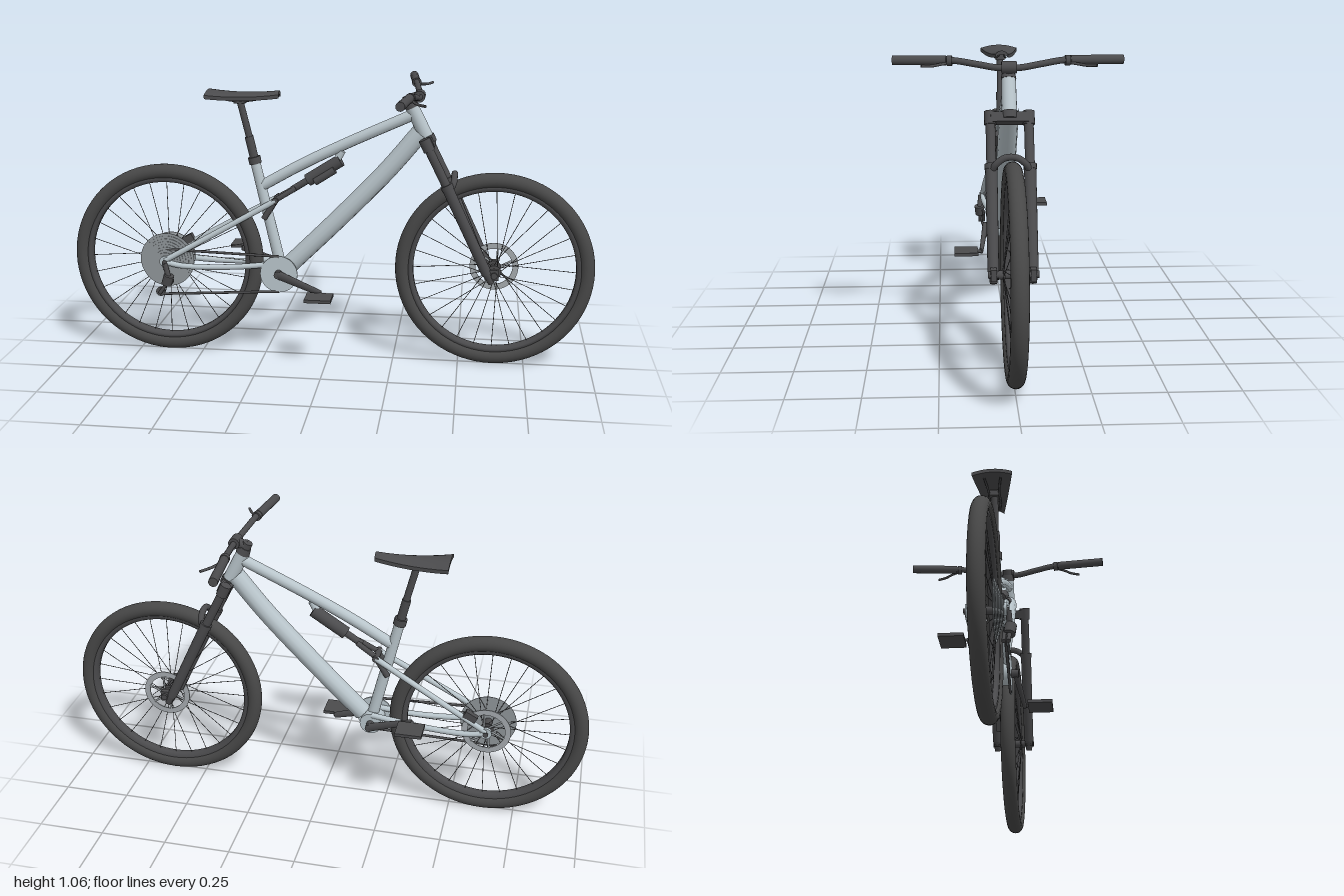
import * as THREE from 'three';

const mat = (name, color) => Object.assign(new THREE.MeshStandardMaterial({ color }), { name });

export function createModel() {
  const tyreMat = mat('tyre rubber', 0x484848);
  const dark = mat('dark components', 0x4b4b4d);
  const paint = mat('frame silver', 0xb9c5cb);
  const steel = mat('steel', 0x8f9599);
  const rotorMat = mat('rotor steel', 0xa4aaae);
  const bike = new THREE.Group();
  bike.name = 'bicycle';

  const V = (a) => new THREE.Vector3(...a);
  const add = (name, geo, material, parent = bike) => {
    const m = new THREE.Mesh(geo, material);
    m.name = name;
    parent.add(m);
    return m;
  };
  // straight round bar between two points
  const bar = (name, a, b, r, material = dark, r2 = r, parent = bike, sides = 16) => {
    const p = V(a), q = V(b), d = q.clone().sub(p);
    const m = add(name, new THREE.CylinderGeometry(r2, r, d.length(), sides), material, parent);
    m.position.copy(p).add(q).multiplyScalar(0.5);
    m.quaternion.setFromUnitVectors(new THREE.Vector3(0, 1, 0), d.normalize());
    return m;
  };
  // bent round bar through points
  const bent = (name, pts, r, material = dark, segs = 24) =>
    add(name, new THREE.TubeGeometry(new THREE.CatmullRomCurve3(pts.map(V)), segs, r, 12), material);
  const box = (name, size, pos, material = dark, rz = 0) => {
    const m = add(name, new THREE.BoxGeometry(...size), material);
    m.position.set(...pos);
    m.rotation.z = rz;
    return m;
  };
  // disc facing z
  const disc = (name, x, y, z, r, t, material, parent = bike) =>
    bar(name, [x, y, z - t / 2], [x, y, z + t / 2], r, material, r, parent, 40);

  // brake rotor: slotted ring with spider arms
  const rotor = (parent, z) => {
    const s = new THREE.Shape().absarc(0, 0, 0.092, 0, Math.PI * 2);
    s.holes.push(new THREE.Path().absarc(0, 0, 0.07, 0, Math.PI * 2, true));
    add('brakeRotor', new THREE.ExtrudeGeometry(s, { depth: 0.004, bevelEnabled: false, curveSegments: 32 }), rotorMat, parent).position.z = z;
    for (let i = 0; i < 6; i++) {
      const a = i * Math.PI / 3;
      bar('rotorArm', [Math.cos(a) * 0.02, Math.sin(a) * 0.02, z + 0.002],
        [Math.cos(a + 0.35) * 0.073, Math.sin(a + 0.35) * 0.073, z + 0.002], 0.004, rotorMat, 0.004, parent, 6);
    }
  };

  const wheel = (name, x) => {
    const g = new THREE.Group();
    g.name = name;
    g.position.set(x, 0.373, 0);
    bike.add(g);
    add('tyre', new THREE.TorusGeometry(0.344, 0.029, 20, 80), tyreMat, g);
    const profile = [[0.326, -0.019], [0.312, -0.019], [0.304, -0.01], [0.304, 0.01], [0.312, 0.019], [0.326, 0.019], [0.326, -0.019]];
    const rim = add('rim', new THREE.LatheGeometry(profile.map(([r, y]) => new THREE.Vector2(r, y)), 80), dark, g);
    rim.rotation.x = Math.PI / 2;
    rim.material.side = THREE.DoubleSide;
    bar('hub', [0, 0, -0.05], [0, 0, 0.05], 0.015, dark, 0.015, g);
    for (const z of [-0.032, 0.032]) disc('hubFlange', 0, 0, z, 0.026, 0.006, dark, g);
    for (let i = 0; i < 28; i++) {
      const a = i * Math.PI / 14, b = a + (i % 4 < 2 ? 0.5 : -0.5), z = i % 2 ? 0.032 : -0.032;
      bar('spoke', [Math.cos(b) * 0.025, Math.sin(b) * 0.025, z], [Math.cos(a) * 0.306, Math.sin(a) * 0.306, 0], 0.0013, dark, 0.0013, g, 5);
    }
    rotor(g, -0.047);
    return g;
  };
  wheel('frontWheel', 0.627);
  const rear = wheel('rearWheel', -0.627);
  // stepped cassette
  for (let i = 0; i < 8; i++) disc('sprocket', 0, 0, 0.029 + i * 0.004, 0.106 - i * 0.01, 0.0025, steel, rear);

  // main frame
  bar('headTube', [0.365, 0.868, 0], [0.305, 0.99, 0], 0.027, paint, 0.025);
  bent('topTube', [[-0.25, 0.675, 0], [-0.1, 0.76, 0], [0.06, 0.84, 0], [0.31, 0.955, 0]], 0.021, paint);
  bent('downTube', [[0.34, 0.89, 0], [0.22, 0.745, 0], [0.04, 0.555, 0], [-0.15, 0.365, 0]], 0.035, paint);
  bar('seatTube', [-0.185, 0.35, 0], [-0.283, 0.775, 0], 0.022, paint, 0.019);
  bar('bottomBracket', [-0.187, 0.34, -0.04], [-0.187, 0.34, 0.04], 0.042, paint);

  // rear triangle, mirrored
  for (const s of [-1, 1]) {
    bent('chainstay', [[-0.627, 0.373, s * 0.062], [-0.56, 0.36, s * 0.06], [-0.36, 0.358, s * 0.042], [-0.19, 0.375, s * 0.033]], 0.011, paint);
    bent('seatstay', [[-0.627, 0.38, s * 0.062], [-0.5, 0.452, s * 0.055], [-0.33, 0.548, s * 0.042], [-0.2, 0.622, s * 0.032]], 0.011, paint);
    disc('dropout', -0.627, 0.375, s * 0.062, 0.022, 0.012, paint);
    bar('rockerLink', [-0.245, 0.55, s * 0.028], [-0.2, 0.622, s * 0.028], 0.011);
    bar('shockYoke', [-0.21, 0.617, s * 0.026], [-0.125, 0.668, s * 0.012], 0.01);
  }
  bar('rockerPivot', [-0.2, 0.622, -0.042], [-0.2, 0.622, 0.042], 0.012);
  bar('rearAxle', [-0.627, 0.373, -0.075], [-0.627, 0.373, 0.075], 0.01);
  box('rearCaliper', [0.05, 0.03, 0.025], [-0.565, 0.435, -0.055], dark, 0.5);

  // rear shock
  bar('shockShaft', [-0.14, 0.66, 0], [-0.06, 0.711, 0], 0.013);
  bar('shockBody', [-0.08, 0.698, 0], [0.045, 0.778, 0], 0.024);
  bar('shockReservoir', [-0.05, 0.697, 0.022], [0.025, 0.745, 0.022], 0.014);
  bar('shockMount', [0.025, 0.768, 0], [0.05, 0.815, 0], 0.014, paint);

  // seat post and saddle
  bar('dropperSleeve', [-0.268, 0.71, 0], [-0.303, 0.86, 0], 0.0165);
  bar('seatCollar', [-0.279, 0.757, 0], [-0.285, 0.783, 0], 0.024);
  bar('seatPost', [-0.298, 0.845, 0], [-0.335, 0.995, 0], 0.013);
  box('saddleClamp', [0.045, 0.022, 0.035], [-0.334, 0.998, 0]);
  const seat = new THREE.BoxGeometry(0.27, 0.014, 2, 16, 1, 10);
  const sp = seat.attributes.position;
  for (let i = 0; i < sp.count; i++) {
    const u = sp.getX(i) / 0.27 + 0.5, w = sp.getZ(i);
    sp.setZ(i, w * (0.073 - 0.049 * u));
    sp.setY(i, sp.getY(i) + 0.008 * (2 * u - 1) ** 2 - 0.013 * w * w);
  }
  seat.computeVertexNormals();
  add('saddle', seat, dark).position.set(-0.32, 1.021, 0);
  for (const s of [-1, 1]) bent('saddleRail', [[-0.43, 1.014, s * 0.03], [-0.37, 0.998, s * 0.02], [-0.3, 0.998, s * 0.02], [-0.21, 1.015, s * 0.01]], 0.004);

  // fork
  bar('headsetLower', [0.373, 0.853, 0], [0.362, 0.877, 0], 0.03);
  bar('headsetUpper', [0.309, 0.983, 0], [0.298, 1.006, 0], 0.027, dark, 0.022);
  const crown = box('forkCrown', [0.045, 0.035, 0.13], [0.369, 0.855, 0], dark, 0.45);
  for (const s of [-1, 1]) {
    const z = s * 0.066;
    bar('crownEnd', [0.377, 0.834, z], [0.357, 0.877, z], 0.021);
    bar('stanchion', [0.366, 0.858, z], [0.47, 0.65, z], 0.0165);
    bar('forkLower', [0.6, 0.375, z], [0.445, 0.7, z], 0.019, dark, 0.021);
    bar('forkSeal', [0.449, 0.692, z], [0.441, 0.709, z], 0.023);
    bar('forkFoot', [0.595, 0.385, z], [0.618, 0.34, z], 0.018, dark, 0.012);
    box('forkDropout', [0.05, 0.04, 0.02], [0.618, 0.373, z]);
  }
  bent('forkArch', [[0.457, 0.69, -0.064], [0.468, 0.714, -0.05], [0.47, 0.735, -0.02], [0.47, 0.735, 0.02], [0.468, 0.714, 0.05], [0.457, 0.69, 0.064]], 0.012);
  bar('frontAxle', [0.627, 0.373, -0.085], [0.627, 0.373, 0.085], 0.012);
  box('frontCaliper', [0.03, 0.055, 0.025], [0.557, 0.435, -0.055], dark, 0.45);

  // stem and handlebar
  bar('steererTop', [0.308, 0.985, 0], [0.288, 1.026, 0], 0.019);
  bar('stem', [0.297, 1.012, 0], [0.335, 1.026, 0], 0.019);
  bar('barClamp', [0.335, 1.026, -0.026], [0.335, 1.026, 0.026], 0.021);
  bent('handlebar', [[0.293, 1.048, -0.39], [0.312, 1.049, -0.2], [0.325, 1.036, -0.11], [0.335, 1.025, -0.04],
    [0.335, 1.025, 0.04], [0.325, 1.036, 0.11], [0.312, 1.049, 0.2], [0.293, 1.048, 0.39]], 0.0115, dark, 60);
  for (const s of [-1, 1]) {
    bar('grip', [0.31, 1.048, s * 0.215], [0.291, 1.048, s * 0.4], 0.0165);
    bar('leverClamp', [0.313, 1.047, s * 0.195], [0.311, 1.047, s * 0.212], 0.018);
    bent('brakeLever', [[0.315, 1.04, s * 0.205], [0.335, 1.035, s * 0.245], [0.35, 1.033, s * 0.265], [0.37, 1.035, s * 0.3]], 0.005);
  }

  // chainring, cranks and pedals
  disc('chainring', -0.187, 0.337, 0.046, 0.072, 0.006, paint);
  bar('crankAxle', [-0.187, 0.34, -0.075], [-0.187, 0.34, 0.075], 0.015);
  for (const s of [-1, 1]) {
    const end = [-0.187 + s * 0.167, 0.34 - s * 0.06, s * 0.087];
    const arm = bar('crankArm', [-0.187, 0.34, s * 0.066], end, 0.018, dark, 0.012);
    arm.scale.z = 0.6;
    bar('pedalAxle', end, [end[0], end[1], s * 0.12], 0.006);
    box('pedal', [0.1, 0.012, 0.09], [end[0], end[1], s * 0.145]);
  }

  // chain and derailleur
  bar('chainTop', [-0.627, 0.42, 0.046], [-0.187, 0.407, 0.046], 0.005);
  bar('chainBottom', [-0.645, 0.245, 0.065], [-0.187, 0.267, 0.046], 0.005);
  bar('derailleurHanger', [-0.627, 0.37, 0.072], [-0.612, 0.315, 0.076], 0.01);
  bar('derailleurBody', [-0.61, 0.325, 0.078], [-0.622, 0.288, 0.074], 0.02);
  for (const z of [0.058, 0.074]) bar('derailleurCage', [-0.615, 0.3, z], [-0.65, 0.25, z], 0.007);
  disc('upperPulley', -0.613, 0.3, 0.066, 0.018, 0.006, dark);
  disc('lowerPulley', -0.648, 0.255, 0.066, 0.018, 0.006, dark);
  return bike;
}
